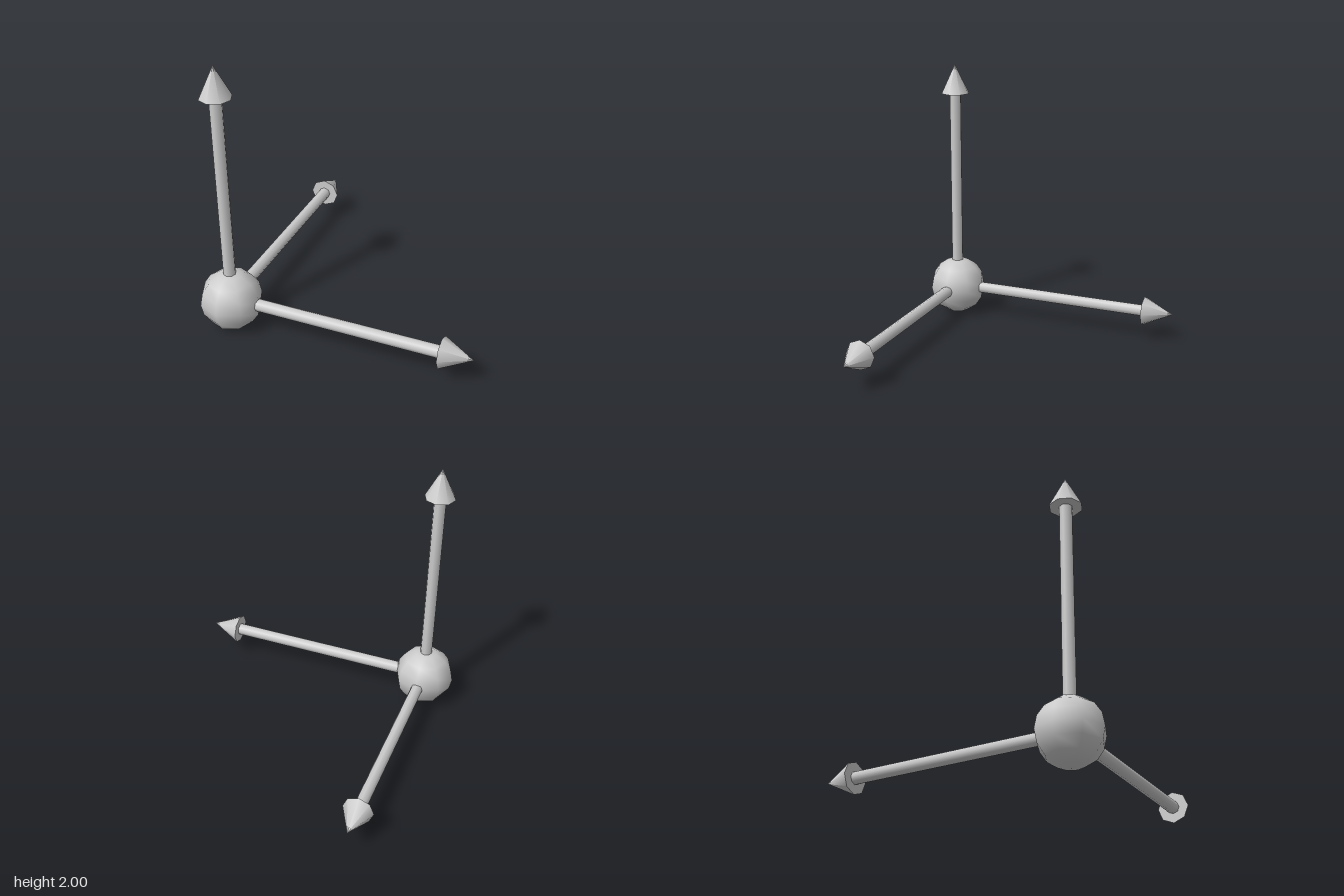
import * as THREE from 'three';

const R = 2 / 9; // ball radius; the arrows reach 8 radii from its centre
const SIDES = 8;

export function createModel() {
  const model = new THREE.Group();
  model.name = 'axisArrows';
  const material = new THREE.MeshStandardMaterial({ color: 0xcccccc });

  const add = (parent, name, geometry, y = 0) => {
    const mesh = new THREE.Mesh(geometry, material);
    mesh.name = name;
    mesh.position.y = y;
    parent.add(mesh);
  };

  // Ball at the shared origin of the arrows
  add(model, 'originBall', new THREE.SphereGeometry(R, SIDES, 8));

  // Each arrow is built upright, then turned to its axis
  const shaft = new THREE.CylinderGeometry(0.2 * R, 0.2 * R, 7 * R, SIDES);
  const head = new THREE.ConeGeometry(0.5 * R, R, SIDES);
  const arrows = [
    ['upArrow', 0, 0],
    ['leftArrow', 0, -Math.PI / 2],
    ['backArrow', -Math.PI / 2, 0],
  ];
  for (const [name, rx, rz] of arrows) {
    const arrow = new THREE.Group();
    arrow.name = name;
    add(arrow, name + 'Shaft', shaft, 3.5 * R);
    add(arrow, name + 'Head', head, 7.5 * R);
    arrow.rotation.set(rx, 0, rz);
    model.add(arrow);
  }

  model.position.set(-1 + R, R, 1 - R);
  const root = new THREE.Group();
  root.name = 'model';
  root.add(model);
  return root;
}
